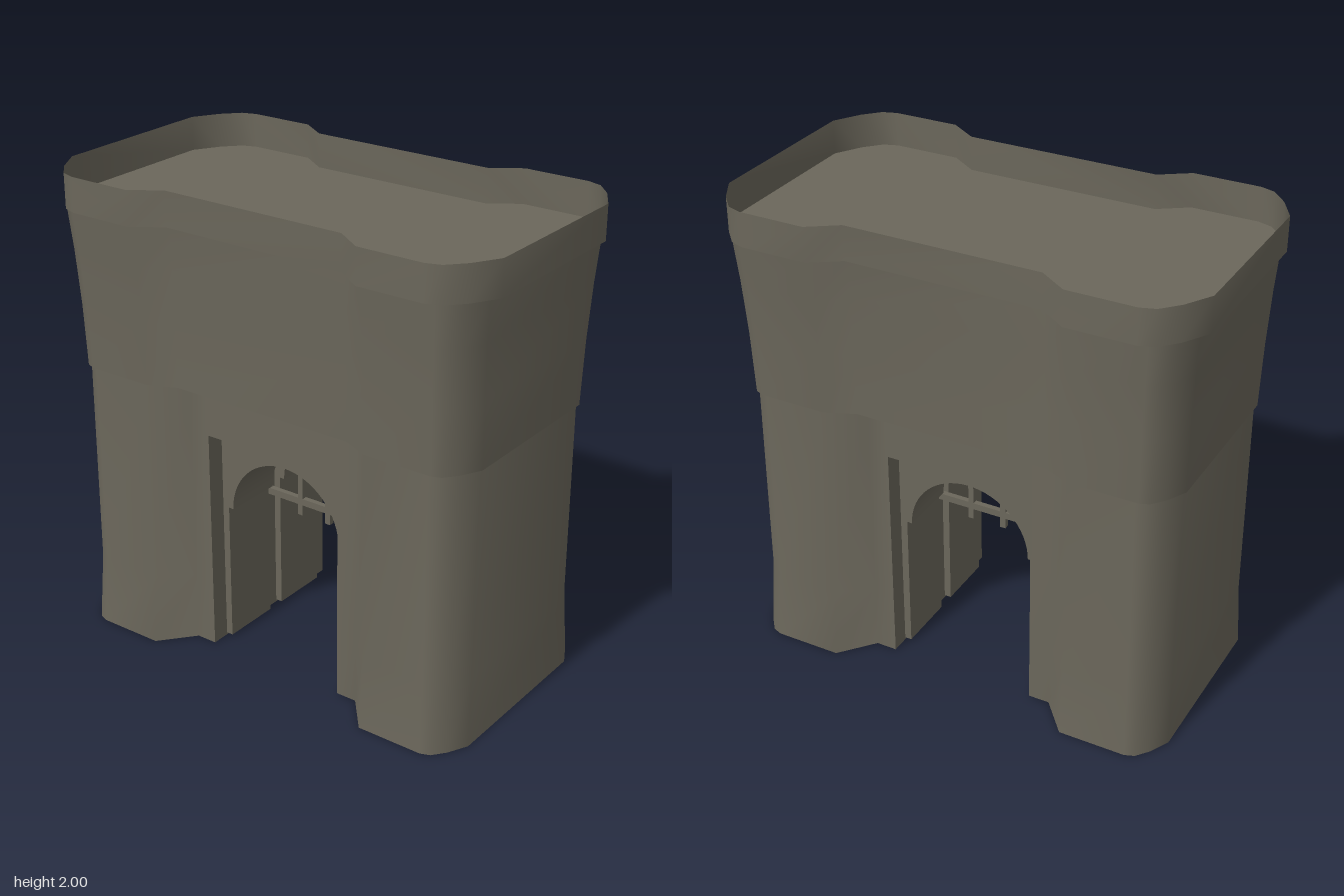
import * as THREE from 'three';
import { toCreasedNormals } from 'three/addons/utils/BufferGeometryUtils.js';

const CREASE = 0.9;
const WALL_CORNER = [0.125, 0.15], PARAPET_CORNER = [0.19, 0.2];

// Half of the plan outline (+x side), walked from front to back
function halfOutline(X, Z, Zc, [cx, cz], startX) {
  const q = [[0.41, Zc], [0.53, Z], [X - cx, Z], [X - 0.68 * cx, Z - 0.1 * cz], [X - 0.34 * cx, Z - 0.45 * cz], [X, Z - cz]];
  if (startX !== undefined) q.unshift([startX, Zc]);
  return [...q, ...q.slice().reverse().map(([x, z]) => [x, -z])];
}

// Whole plan outline: the half plus its half-turn copy
function outline(X, Z, Zc, corner) {
  const h = halfOutline(X, Z, Zc, corner);
  return [...h, ...h.map(([x, z]) => [-x, -z])];
}

// Skin between plan outlines stacked at given heights
function loft(rings, closed) {
  const pos = [], idx = [], n = rings[0].pts.length;
  for (const { y, pts } of rings) for (const [x, z] of pts) pos.push(x, y, z);
  for (let r = 0; r < rings.length - 1; r++) {
    for (let i = 0; i < (closed ? n : n - 1); i++) {
      const a = r * n + i, b = r * n + (i + 1) % n;
      idx.push(a, b, b + n, a, b + n, a + n);
    }
  }
  const g = new THREE.BufferGeometry();
  g.setAttribute('position', new THREE.Float32BufferAttribute(pos, 3));
  g.setIndex(idx);
  return toCreasedNormals(g, CREASE);
}

export function createModel() {
  const group = new THREE.Group();
  const stone = new THREE.MeshStandardMaterial({ color: 0x6b675b, side: THREE.DoubleSide });
  stone.name = 'grey stone';

  const add = (name, geometry, x = 0, y = 0, z = 0, turn = 0) => {
    const mesh = new THREE.Mesh(geometry, stone);
    mesh.name = name;
    mesh.position.set(x, y, z);
    mesh.rotation.y = turn;
    group.add(mesh);
  };

  const doorX = 0.32, doorTop = 0.97, panelZ = 0.38, ledgeY = 1.18, crownY = 1.855;

  // Lower walls on both sides of the gate, flared at the foot, open below
  const leg = loft([[0, 0.94, 0.522], [0.3, 0.93, 0.5], [ledgeY, 0.93, 0.497]]
    .map(([y, X, Z]) => ({ y, pts: halfOutline(X, Z, panelZ, WALL_CORNER, doorX) })), false);
  add('leftTowerBase', leg);
  add('rightTowerBase', leg, 0, 0, 0, Math.PI);

  // Wall above each door opening
  const lintel = new THREE.PlaneGeometry(doorX * 2, ledgeY - doorTop);
  add('frontLintel', lintel, 0, (ledgeY + doorTop) / 2, panelZ);
  add('backLintel', lintel, 0, (ledgeY + doorTop) / 2, -panelZ, Math.PI);

  // Upper walls, stepping out at the ledge and spreading towards the top
  add('upperWalls', loft([
    [ledgeY, 0.93, 0.497, panelZ],
    [ledgeY, 0.942, 0.502, 0.45],
    [1.45, 0.948, 0.512, 0.452],
    [1.68, 0.957, 0.527, 0.456],
    [crownY, 0.968, 0.542, 0.46],
  ].map(([y, X, Z, Zc]) => ({ y, pts: outline(X, Z, Zc, WALL_CORNER) })), true));

  // Overhanging thin parapet
  add('parapet', loft([
    [crownY, 0.965, 0.538, 0.455],
    [crownY, 1, 0.565, 0.483],
    [2, 1, 0.565, 0.483],
  ].map(([y, X, Z, Zc]) => ({ y, pts: outline(X, Z, Zc, PARAPET_CORNER) })), true));

  // Roof floor sunk inside the parapet
  const floor = new THREE.ShapeGeometry(new THREE.Shape(
    outline(0.975, 0.545, 0.465, PARAPET_CORNER).map(([x, z]) => new THREE.Vector2(x, -z))));
  floor.rotateX(-Math.PI / 2);
  add('roofFloor', floor, 0, crownY + 0.006, 0);

  // Square reveal lining running through the building
  const jamb = new THREE.PlaneGeometry(panelZ * 2, doorTop);
  add('leftReveal', jamb, doorX, doorTop / 2, 0, -Math.PI / 2);
  add('rightReveal', jamb, -doorX, doorTop / 2, 0, Math.PI / 2);
  const soffit = new THREE.PlaneGeometry(doorX * 2, panelZ * 2);
  soffit.rotateX(Math.PI / 2);
  add('revealSoffit', soffit, 0, doorTop, 0);

  // Arched passage in two lengths, leaving a slot for the gate
  const arch = new THREE.Shape();
  arch.moveTo(doorX, 0.01);
  arch.lineTo(doorX, doorTop);
  arch.lineTo(-doorX, doorTop);
  arch.lineTo(-doorX, 0.01);
  arch.lineTo(-0.29, 0.01);
  arch.lineTo(-0.29, 0.62);
  arch.lineTo(-0.268, 0.62);
  arch.absarc(0, 0.618, 0.268, Math.PI, 0, true);
  arch.lineTo(0.29, 0.62);
  arch.lineTo(0.29, 0.01);
  arch.closePath();
  const archGeometry = toCreasedNormals(new THREE.ExtrudeGeometry(arch,
    { depth: 0.26, bevelEnabled: false, curveSegments: 16 }), CREASE);
  add('frontArch', archGeometry, 0, 0, 0.04);
  add('backArch', archGeometry, 0, 0, -0.3);

  // Raised gate grid
  const upright = new THREE.BoxGeometry(0.024, 0.44, 0.024);
  for (const x of [-0.142, 0, 0.152]) add('gateUpright', upright, x, 0.73, 0);
  const rail = new THREE.BoxGeometry(0.63, 0.03, 0.024);
  for (const y of [0.573, 0.75, 0.842]) add('gateRail', rail, 0, y, 0);

  return group;
}
